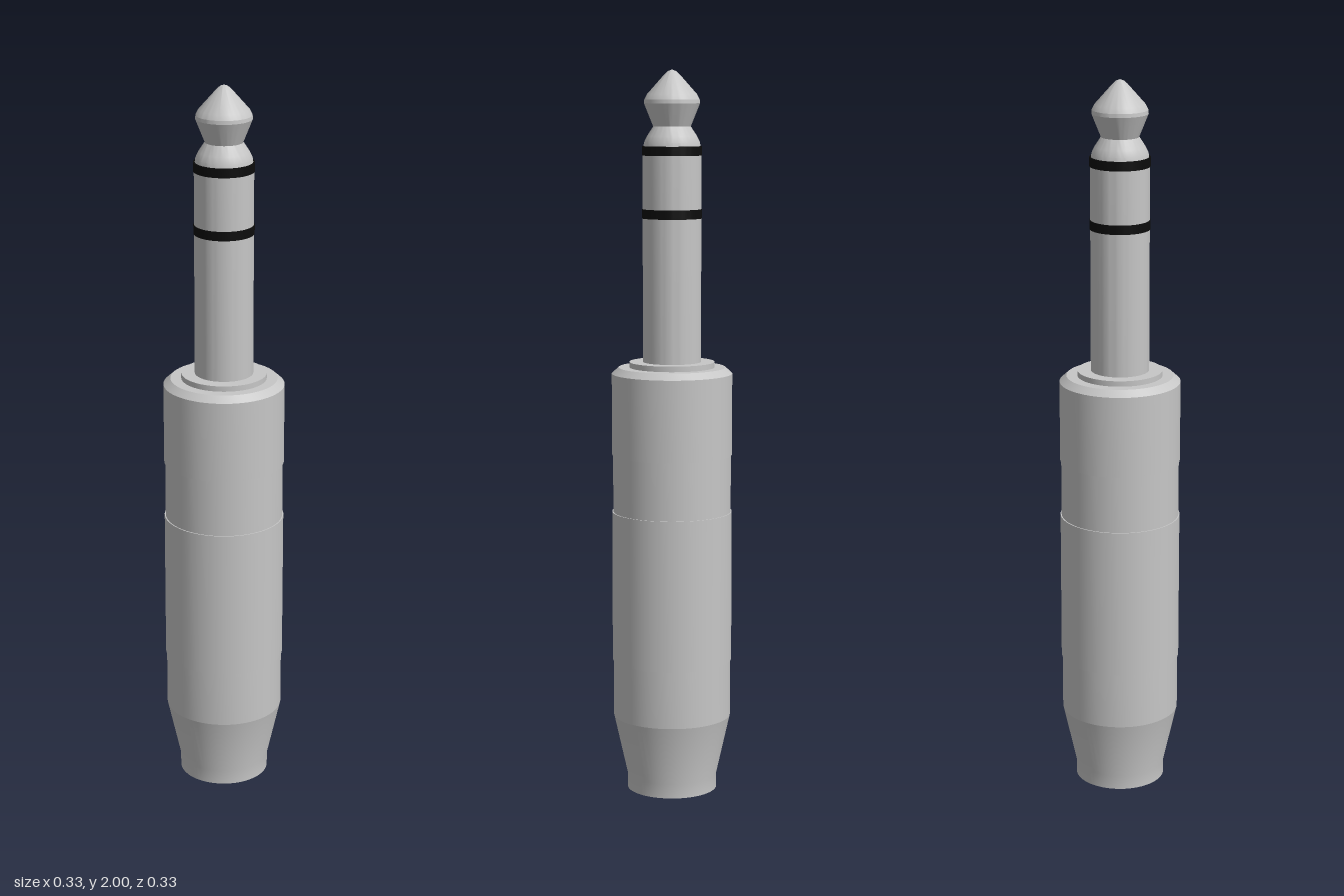
import * as THREE from 'three';
import { toCreasedNormals } from 'three/addons/utils/BufferGeometryUtils.js';

export function createModel() {
  const group = new THREE.Group();
  const metal = new THREE.MeshStandardMaterial({ color: 0xc6c6c6 });
  const black = new THREE.MeshStandardMaterial({ color: 0x0c0c0c });

  // Revolve a profile of [radius, height] pairs, keeping its corners sharp
  const turn = (name, profile, material) => {
    const points = profile.map(([r, y]) => new THREE.Vector2(r, y));
    const geometry = toCreasedNormals(new THREE.LatheGeometry(points, 64), 0.35);
    const mesh = new THREE.Mesh(geometry, material);
    mesh.name = name;
    group.add(mesh);
  };

  // Tapered cable end with its open bore
  turn('cableEnd', [
    [0, 0.4], [0.079, 0.4], [0.079, 0], [0.125, 0], [0.125, 0.04], [0.163, 0.21],
  ], metal);

  // Handle with two slightly recessed bands and a chamfered shoulder
  turn('handle', [
    [0.163, 0.21], [0.163, 0.37], [0.166, 0.37], [0.166, 0.79], [0.163, 0.79],
    [0.163, 0.95], [0.166, 0.95], [0.166, 1.175], [0.147, 1.192], [0.117, 1.192],
  ], metal);

  // Raised collar around the pin
  turn('collar', [[0.117, 1.192], [0.117, 1.207], [0.079, 1.207]], metal);

  // Contacts of the pin
  turn('sleeveContact', [[0.08, 1.2], [0.08, 1.6]], metal);
  turn('ringContact', [[0.08, 1.62], [0.08, 1.77]], metal);

  // Insulating bands
  for (const y of [1.6, 1.77]) {
    turn('insulator', [[0.078, y], [0.082, y], [0.082, y + 0.025], [0.07, y + 0.025]], black);
  }

  // Tip: rounded neck, flare, and blunt cone
  turn('tipContact', [
    [0.078, 1.79], [0.076, 1.805], [0.068, 1.822], [0.051, 1.848],
    [0.076, 1.91], [0.075, 1.92], [0.068, 1.934], [0.02, 1.988], [0.011, 1.996], [0, 2],
  ], metal);

  return group;
}
